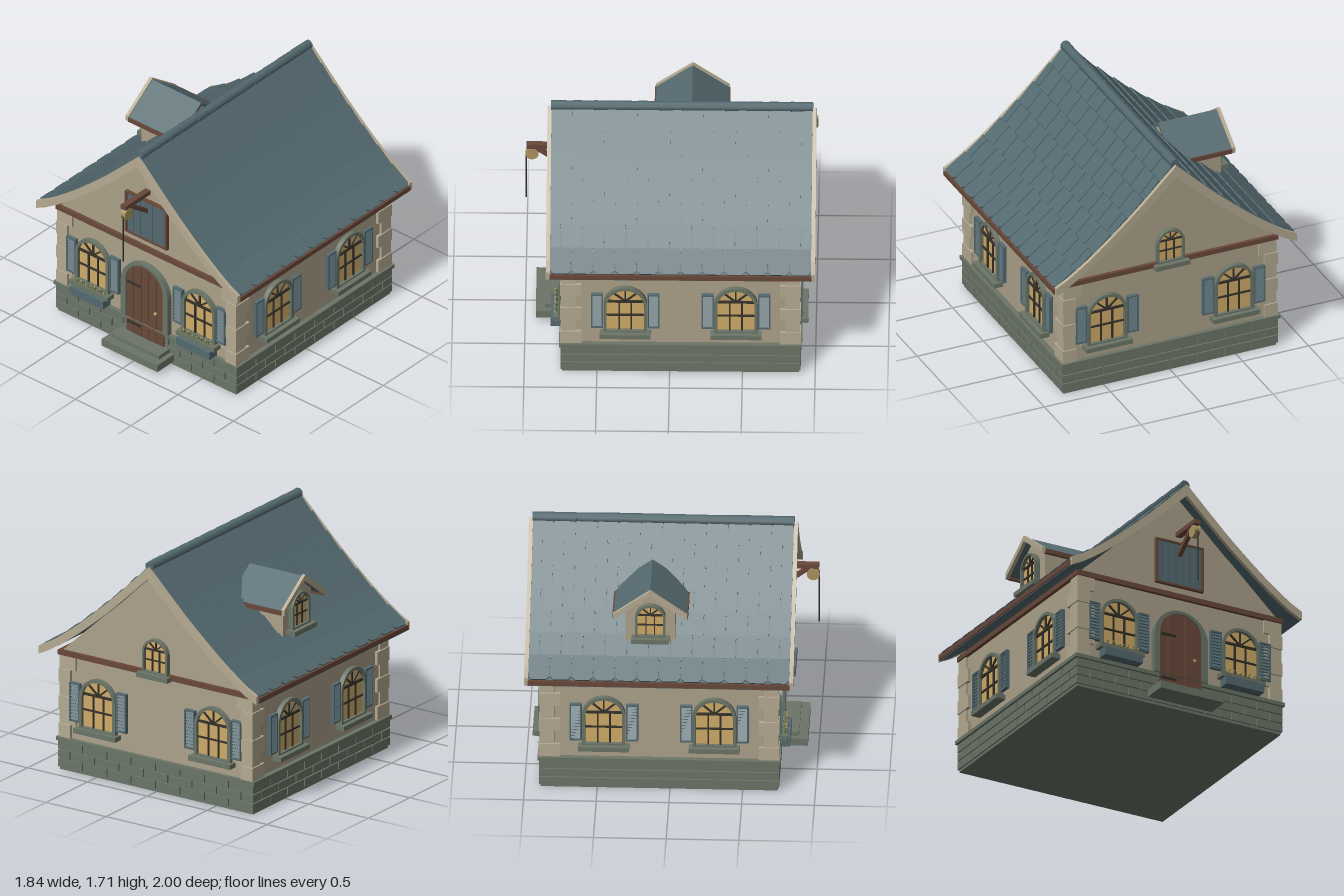
import * as THREE from 'three';
import { mergeGeometries } from 'three/addons/utils/BufferGeometryUtils.js';

const mat = (name, color, side = THREE.FrontSide) => {
  const m = new THREE.MeshStandardMaterial({ color, side });
  m.name = name;
  return m;
};
const M = {
  plaster: mat('plaster', 0xaca18a), trim: mat('pale trim', 0xb5aa92), stone: mat('grey green stone', 0x6b7567),
  slate: mat('blue slate', 0x546a70), wood: mat('brown wood', 0x69483a), glass: mat('warm glass', 0xcfab68),
  iron: mat('dark iron', 0x35312b), brass: mat('straw', 0xac945f), leaf: mat('leaf green', 0x66703f),
};
const ZC = -0.075, WX = 0.79, WZ = 0.805; // house centre, wall half sizes

const add = (parent, name, geo, m, x = 0, y = 0, z = 0) => {
  const o = new THREE.Mesh(geo, m);
  o.name = name;
  o.position.set(x, y, z);
  parent.add(o);
  return o;
};
const box = (w, h, d, x = 0, y = 0, z = 0) => new THREE.BoxGeometry(w, h, d).translate(x, y, z);
// box given by its limits
const span = (x0, x1, y0, y1, z0, z1) => box(x1 - x0, y1 - y0, z1 - z0, (x0 + x1) / 2, (y0 + y1) / 2, (z0 + z1) / 2);
const extrude = (shape, depth, z = 0) =>
  new THREE.ExtrudeGeometry(shape, { depth, bevelEnabled: false, curveSegments: 10 }).translate(0, 0, z);
const poly = pts => new THREE.Shape(pts.map(p => new THREE.Vector2(p[0], p[1])));
const group = (parent, name) => {
  const g = new THREE.Group();
  g.name = name;
  parent.add(g);
  return g;
};
// round-headed outline
const arch = (w, h, y = 0, C = THREE.Shape) => {
  const s = new C();
  s.moveTo(-w, y);
  s.lineTo(w, y);
  s.lineTo(w, h - w);
  s.absarc(0, h - w, w, 0, Math.PI, false);
  s.lineTo(-w, y);
  return s;
};

// arched window, local z pointing out of the wall
function makeWindow(w, h, { shutters = false, planter = false } = {}) {
  const g = new THREE.Group(), f = w * 0.15, wi = w - f;
  g.name = 'window';
  const frame = arch(w, h);
  frame.holes.push(arch(wi, h - f, 0.012, THREE.Path));
  add(g, 'windowFrame', extrude(frame, 0.05, -0.015), M.stone);
  add(g, 'glass', new THREE.ShapeGeometry(arch(wi, h - f), 10), M.glass, 0, 0, 0.01);
  const t = w * 0.075, mid = h * 0.67, bars = [];
  bars.push(box(wi * 2, t * 1.4, 0.014, 0, mid, 0.016), box(wi * 2, t, 0.012, 0, mid * 0.54, 0.015));
  for (const s of [-1, 1]) bars.push(box(t, mid, 0.012, s * wi * 0.33, mid / 2, 0.015));
  for (const a of [-0.85, 0, 0.85])
    bars.push(box(t, w * 0.7, 0.012, 0, w * 0.35, 0.015).rotateZ(a).translate(0, mid, 0));
  add(g, 'glazingBars', mergeGeometries(bars), M.iron);
  add(g, 'sill', box(w * 2 + 0.05, 0.034, 0.075, 0, -0.017, 0.0325), M.stone);
  if (shutters) for (const s of [-1, 1]) {
    const p = [box(0.085, 0.285, 0.012, 0, 0, 0.008)];
    for (const e of [-1, 1]) p.push(box(0.01, 0.285, 0.028, e * 0.0375, 0, 0.015), box(0.085, 0.012, 0.028, 0, e * 0.1365, 0.015));
    for (let i = 0; i < 11; i++) p.push(box(0.066, 0.02, 0.006).rotateX(-0.6).translate(0, -0.12 + i * 0.024, 0.019));
    add(g, 'shutter', mergeGeometries(p), M.slate, s * (w + 0.044), 0.172, 0);
  }
  if (planter) {
    add(g, 'planter', box(0.3, 0.06, 0.08, 0, -0.066, 0.05), M.slate);
    const leaves = [], buds = [];
    for (let i = 0; i < 14; i++) {
      const x = -0.13 + i * 0.02, y = 0.01 + 0.008 * Math.sin(i * 2.3);
      leaves.push(new THREE.ConeGeometry(0.011, 0.03, 5).rotateZ(Math.sin(i * 4) * 0.5).translate(x, y, 0.052));
      if (i % 2) buds.push(new THREE.IcosahedronGeometry(0.008, 0).translate(x, y + 0.014, 0.06));
    }
    add(g, 'leaves', mergeGeometries(leaves), M.leaf);
    add(g, 'flowers', mergeGeometries(buds), M.brass);
  }
  return g;
}

// half roof section from ridge to eave
const curve = new THREE.SplineCurve([[0, 1.66], [0.256, 1.41], [0.37, 1.305], [0.6, 1.11], [0.8, 0.965], [0.91, 0.905]]
  .map(p => new THREE.Vector2(...p)));
const half = curve.getSpacedPoints(12);
// band below the full roof section, thickness from ridge to eave
function roofBand(drop, t0, t1) {
  const n = half.length - 1, top = [], low = [];
  for (let i = -n; i <= n; i++) {
    const p = half[Math.abs(i)], x = Math.sign(i) * p.x, y = p.y - drop;
    top.push([x, y]);
    low.unshift([x, y - t0 - (t1 - t0) * Math.abs(i) / n]);
  }
  return poly([...top, ...low]);
}

function buildRoof(house) {
  const roof = group(house, 'roof'), L = 0.9;
  add(roof, 'roofDeck', extrude(roofBand(0.022, 0.03, 0.03), 2 * L, -L), M.slate);
  for (const z of [0.897, -0.925]) add(roof, 'bargeboard', extrude(roofBand(-0.008, 0.085, 0.06), 0.028, z), M.trim);
  // overlapping tiles with clipped lower corners
  const tiles = [], rows = 7, W = 0.15;
  for (let r = 0; r < rows; r++) {
    const a = curve.getPointAt(r / rows), b = curve.getPointAt((r + 1) / rows);
    const d = b.clone().sub(a), len = d.length() + 0.02;
    d.normalize();
    const n = new THREE.Vector3(-d.y, d.x, 0), up = new THREE.Vector3(-d.x, -d.y, 0);
    const base = new THREE.Matrix4().makeBasis(new THREE.Vector3(0, 0, -1), up, n);
    base.setPosition(b.x - n.x * 0.008, b.y - n.y * 0.008, 0);
    for (let c = 0; c <= 12; c++) {
      const u0 = Math.max(-L, -L + (c - (r % 2) / 2) * W) + 0.004, u1 = Math.min(L, -L + (c + 1 - (r % 2) / 2) * W) - 0.004;
      if (u1 - u0 < 0.03) continue;
      const k = 0.022;
      const s = poly([[u0, k], [u0 + k, 0], [u1 - k, 0], [u1, k], [u1, len], [u0, len]]);
      tiles.push(extrude(s, 0.014).rotateX(0.07).applyMatrix4(base));
    }
  }
  const tileGeo = mergeGeometries(tiles);
  for (const a of [0, Math.PI]) {
    const side = group(roof, 'roofSlope');
    side.rotation.y = a;
    add(side, 'roofTiles', tileGeo, M.slate);
    add(side, 'eaveFascia', span(0.895, 0.918, 0.86, 0.895, -L, L), M.wood);
  }
  const caps = [];
  for (let i = 0; i < 12; i++)
    caps.push(new THREE.CylinderGeometry(0.036, 0.033, 0.152, 8).rotateY(Math.PI / 8).rotateX(Math.PI / 2).translate(0, 1.673, -0.825 + i * 0.15));
  add(roof, 'ridgeCaps', mergeGeometries(caps), M.slate);
}

function buildWalls(house) {
  add(house, 'walls', extrude(poly([[-WX, 0.2], [WX, 0.2], [WX, 0.87], [0, 1.6], [-WX, 0.87]]), WZ * 2, -WZ), M.plaster);
  add(house, 'beltBeam', box(1.63, 0.036, 1.66, 0, 0.858, 0), M.wood);
  // plinth: core, cap and three courses of blocks
  add(house, 'plinthBase', box(1.61, 0.02, 1.63, 0, 0.01, 0), M.stone);
  add(house, 'plinthCore', box(1.605, 0.2, 1.625, 0, 0.115, 0), M.stone);
  add(house, 'plinthCap', box(1.655, 0.027, 1.67, 0, 0.2265, 0), M.stone);
  const blocks = [];
  for (let s = 0; s < 4; s++) for (let r = 0; r < 3; r++) {
    const hl = s % 2 ? 0.825 : 0.815, out = s % 2 ? 0.815 : 0.825, bw = hl / 4;
    for (let c = 0; c <= 8; c++) {
      const u0 = Math.max(-hl, -hl + (c - (r % 2) / 2) * bw), u1 = Math.min(hl, -hl + (c + 1 - (r % 2) / 2) * bw);
      if (u1 - u0 < 0.03) continue;
      const y = 0.021 + r * 0.065;
      blocks.push(span(u0 + (c ? 0.005 : 0), u1 - (u1 < hl ? 0.005 : 0), y, y + 0.057, out - 0.05, out).rotateY(s * Math.PI / 2));
    }
  }
  add(house, 'plinthBlocks', mergeGeometries(blocks), M.stone);
  // corner stones alternating long and short
  const quoins = [];
  for (const sx of [-1, 1]) for (const sz of [-1, 1]) for (let i = 0; i < 6; i++) {
    const lx = i % 2 ? 0.135 : 0.1, lz = i % 2 ? 0.1 : 0.145, o = i % 2 ? 0.016 : 0.022;
    quoins.push(box(lx, 0.097, lz, sx * (WX + o - lx / 2), 0.29 + i * 0.1, sz * (WZ + o - lz / 2)));
  }
  add(house, 'cornerStones', mergeGeometries(quoins), M.trim);
}

function buildEntrance(house) {
  const g = group(house, 'entrance'), r = 0.168, spring = 0.547;
  const ring = arch(0.212, 0.737, 0.24);
  ring.holes.push(arch(r, spring + r, 0.2401, THREE.Path));
  add(g, 'doorSurround', extrude(ring, 0.05, 0.797), M.stone);
  for (let i = 0; i < 5; i++) {
    const x0 = -r + i * r * 0.4 + 0.002, x1 = x0 + r * 0.4 - 0.004, pts = [[x0, 0.12], [x1, 0.12]];
    for (let k = 4; k >= 0; k--) {
      const x = x0 + (x1 - x0) * k / 4;
      pts.push([x, spring + Math.sqrt(r * r - x * x)]);
    }
    add(g, 'doorPlank', extrude(poly(pts), 0.036 + (i % 2) * 0.003, 0.8), M.wood);
  }
  for (const y of [0.54, 0.21]) add(g, 'hinge', box(0.115, 0.016, 0.01, -0.097, y, 0.842), M.iron);
  add(g, 'doorKnob', new THREE.SphereGeometry(0.014, 10, 8), M.brass, 0.105, 0.38, 0.852);
  add(g, 'upperStep', span(-0.213, 0.213, 0.07, 0.125, 0.78, 0.94), M.stone);
  add(g, 'lowerStep', span(-0.252, 0.252, 0.04, 0.095, 0.78, 1.002), M.stone);
}

function buildHatch(house) {
  const g = group(house, 'loftHatch');
  for (const s of [-1, 1]) {
    add(g, 'hatchPost', box(0.018, 0.335, 0.03, s * 0.18, 1.0975, 0.816), M.wood);
    add(g, 'hatchRail', box(0.342, 0.014, 0.03, 0, 1.0975 + s * 0.1605, 0.816), M.wood);
  }
  for (let i = 0; i < 6; i++) add(g, 'hatchPlank', box(0.054, 0.31, 0.018 + (i % 2) * 0.004, -0.1425 + i * 0.057, 1.0975, 0.812), M.slate);
  // hoist
  const h = group(house, 'hoist');
  add(h, 'hoistBeam', span(-0.022, 0.022, 1.312, 1.345, 0.78, 1.07), M.wood);
  add(h, 'hoistBrace', box(0.03, 0.03, 0.24), M.wood, 0, 1.24, 0.905).rotation.x = -0.64;
  add(h, 'pulley', new THREE.CylinderGeometry(0.045, 0.045, 0.04, 16).rotateZ(Math.PI / 2), M.brass, 0, 1.265, 1.03);
  add(h, 'rope', new THREE.CylinderGeometry(0.005, 0.005, 0.385, 6), M.iron, 0, 1.0775, 1.07);
}

// dormer, built facing +z and turned to the -x slope
function buildDormer(house) {
  const g = group(house, 'dormer');
  g.rotation.y = -Math.PI / 2;
  g.position.z = -0.14 - ZC;
  const chevron = (w, top, eave, t) => poly([[-w, eave], [0, top], [w, eave], [w, eave - t], [0, top - t], [-w, eave - t]].reverse());
  add(g, 'dormerWalls', extrude(poly([[-0.17, 1.06], [0.17, 1.06], [0.17, 1.355], [0, 1.478], [-0.17, 1.355]]), 0.385, 0.27), M.plaster);
  add(g, 'dormerRoof', extrude(chevron(0.25, 1.5, 1.318, 0.026), 0.442, 0.26), M.slate);
  add(g, 'dormerBargeboard', extrude(chevron(0.255, 1.512, 1.325, 0.042), 0.025, 0.7), M.trim);
  for (const s of [-1, 1]) add(g, 'dormerFascia', box(0.022, 0.032, 0.38, s * 0.249, 1.3, 0.51), M.wood);
  const win = makeWindow(0.105, 0.25);
  win.position.set(0, 1.13, 0.66);
  g.add(win);
}

export function createModel() {
  const model = new THREE.Group();
  model.name = 'cottage';
  const house = group(model, 'house');
  house.position.z = ZC;
  buildWalls(house);
  buildRoof(house);
  buildEntrance(house);
  buildHatch(house);
  buildDormer(house);
  // windows on the four sides
  for (let s = 0; s < 4; s++) {
    const side = group(house, ['front', 'left', 'back', 'right'][s] + 'Windows');
    side.rotation.y = s * Math.PI / 2;
    for (const k of [-1, 1]) {
      const win = makeWindow(0.15, 0.375, { shutters: true, planter: s === 0 });
      win.position.set(k * (s % 2 ? 0.38 : 0.48), 0.345, s % 2 ? WX : WZ);
      side.add(win);
    }
    if (s === 2) {
      const attic = makeWindow(0.105, 0.25);
      attic.name = 'atticWindow';
      attic.position.set(0, 0.866, WZ);
      side.add(attic);
    }
  }
  return model;
}
